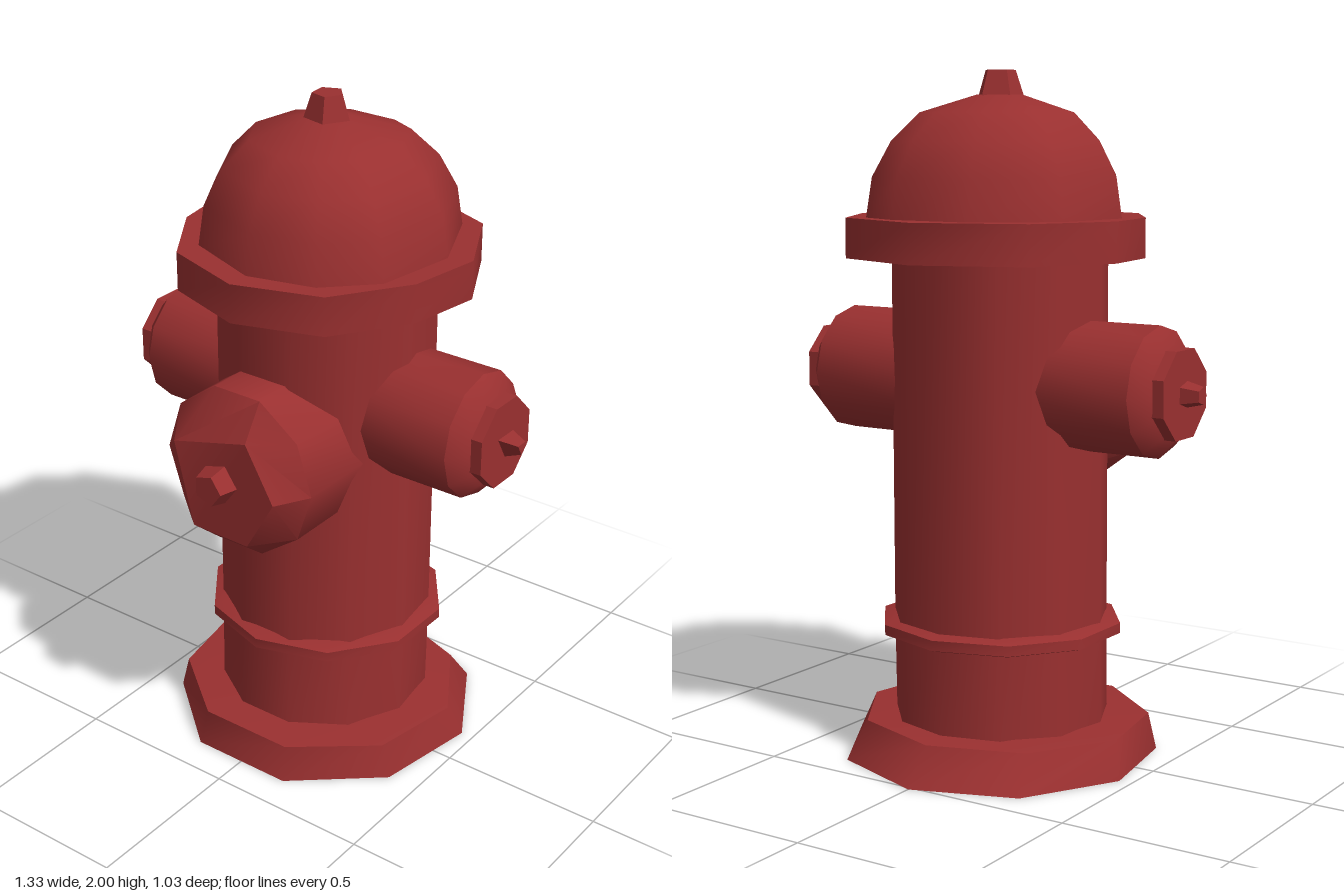
import * as THREE from 'three';
import { toCreasedNormals } from 'three/addons/utils/BufferGeometryUtils.js';

const red = new THREE.MeshStandardMaterial({ color: 0x9a3030 });
red.name = 'hydrantRed';
const AXIS_Z = -0.046;

// Horizontal polygon ring; angle 0 points to +z and grows towards +x
function ring(n, y, rx, rz = rx, start = 0, cz = 0) {
  return Array.from({ length: n }, (_, i) => {
    const a = start + (i / n) * Math.PI * 2;
    return new THREE.Vector3(Math.sin(a) * rx, y, cz + Math.cos(a) * rz);
  });
}

// Ring from an outline of [x, z] points
const outlineRing = (pts, y, s = 1, cz = 0) =>
  pts.map(([x, z]) => new THREE.Vector3(x * s, y, cz + (z - cz) * s));

// Closed solid through a stack of rings, sharp only at strong edges
function loft(rings, crease = 0.75) {
  const pos = [];
  const tri = (a, b, c) => {
    if (a.distanceTo(b) < 1e-6 || b.distanceTo(c) < 1e-6 || a.distanceTo(c) < 1e-6) return;
    for (const p of [a, b, c]) pos.push(p.x, p.y, p.z);
  };
  const n = rings[0].length;
  const centre = (r) => r.reduce((s, p) => s.add(p), new THREE.Vector3()).divideScalar(n);
  const bottom = rings[0], top = rings[rings.length - 1];
  const cb = centre(bottom), ct = centre(top);
  for (let i = 0; i < n; i++) {
    const j = (i + 1) % n;
    for (let k = 0; k + 1 < rings.length; k++) {
      const a = rings[k], b = rings[k + 1];
      tri(a[i], a[j], b[j]);
      tri(a[i], b[j], b[i]);
    }
    tri(cb, bottom[j], bottom[i]);
    tri(ct, top[i], top[j]);
  }
  const g = new THREE.BufferGeometry();
  g.setAttribute('position', new THREE.Float32BufferAttribute(pos, 3));
  g.computeVertexNormals();
  return toCreasedNormals(g, crease);
}

function add(parent, name, rings, crease) {
  const mesh = new THREE.Mesh(loft(rings, crease), red);
  mesh.name = name;
  parent.add(mesh);
  return mesh;
}

// Stack of regular polygons given as [y, radius]
const stack = (n, profile, start = 0) => profile.map(([y, r]) => ring(n, y, r, r, start));

export function createModel() {
  const model = new THREE.Group();
  model.name = 'fireHydrant';

  // Nine-sided foot with a corner at the back
  add(model, 'base', [
    ring(9, 0, 0.468, 0.468, Math.PI, AXIS_Z),
    ring(9, 0.105, 0.436, 0.41, Math.PI, -0.018),
    ring(9, 0.115, 0.31, 0.31, Math.PI, -0.04),
  ]);

  // Barrel
  add(model, 'barrel', [
    ring(11, 0.1, 0.32, 0.32, Math.PI, -0.036),
    ring(11, 0.38, 0.32, 0.32, Math.PI, -0.042),
    ring(11, 1.5, 0.319, 0.319, Math.PI, AXIS_Z),
  ]);

  // Thin band around the barrel
  add(model, 'band', [[0.365, 0.33], [0.373, 0.354], [0.403, 0.354], [0.415, 0.318]]
    .map(([y, r]) => ring(10, y, r * 1.03, r, 0, -0.042)));

  // Bonnet flange, mirrored half outline
  const half = [[0.255, 0.315], [0.4, 0.1], [0.436, -0.125], [0.31, -0.37]];
  const flange = [[0, 0.398], ...half, [0, -0.49],
    ...half.slice().reverse().map(([x, z]) => [-x, z])];
  add(model, 'flange', [outlineRing(flange, 1.47), outlineRing(flange, 1.585)]);

  // Dome, slightly irregular polygon
  const dome = [[0, 0.33], [0.2, 0.28], [0.33, 0.15], [0.37, -0.1], [0.265, -0.335],
    [0.13, -0.395], [-0.13, -0.395], [-0.33, -0.23], [-0.37, 0.02], [-0.24, 0.24]];
  add(model, 'dome', [[1.575, 1], [1.7, 0.95], [1.8, 0.81], [1.88, 0.6], [1.93, 0.18]]
    .map(([y, s]) => outlineRing(dome, y, s, -0.04)), 0.9);

  // Knob on the dome
  add(model, 'topKnob', stack(5, [[1.91, 0.075], [2.0, 0.046]], 0.4)).position.z = -0.045;

  // Side outlets
  for (const side of [1, -1]) {
    const outlet = new THREE.Group();
    outlet.name = side > 0 ? 'leftOutlet' : 'rightOutlet';
    add(outlet, 'outletBody', stack(12, [[0.15, 0.187], [0.532, 0.187], [0.578, 0.135]]));
    add(outlet, 'outletCap', stack(8, [[0.57, 0.134], [0.612, 0.134]], Math.PI / 8));
    add(outlet, 'outletTip', side > 0
      ? stack(3, [[0.6, 0.05], [0.665, 0.022]], Math.PI / 2)
      : stack(5, [[0.6, 0.042], [0.665, 0.026]]));
    outlet.rotation.z = -side * Math.PI / 2;
    outlet.position.set(0, 1.112, AXIS_Z);
    model.add(outlet);
  }

  // Front outlet: round body narrowing to a five-cornered face
  const front = new THREE.Group();
  front.name = 'frontOutlet';
  const corners = [0, 60, 60, 150, 150, 150, 238, 238, 300, 300];
  const face = corners.map((d) => {
    const a = THREE.MathUtils.degToRad(d + 90);
    return new THREE.Vector3(Math.sin(a) * 0.187, 0.46, Math.cos(a) * 0.187 + 0.012);
  });
  add(front, 'outletBody', [
    ring(10, 0, 0.256, 0.256, Math.PI / 2),
    ring(10, 0.375, 0.256, 0.256, Math.PI / 2),
    face,
  ], 0.65);
  add(front, 'outletTip', stack(5, [[0.45, 0.064], [0.515, 0.048]], 0.3));
  front.rotation.x = Math.PI / 2;
  front.position.y = 1.005;
  model.add(front);

  return model;
}
